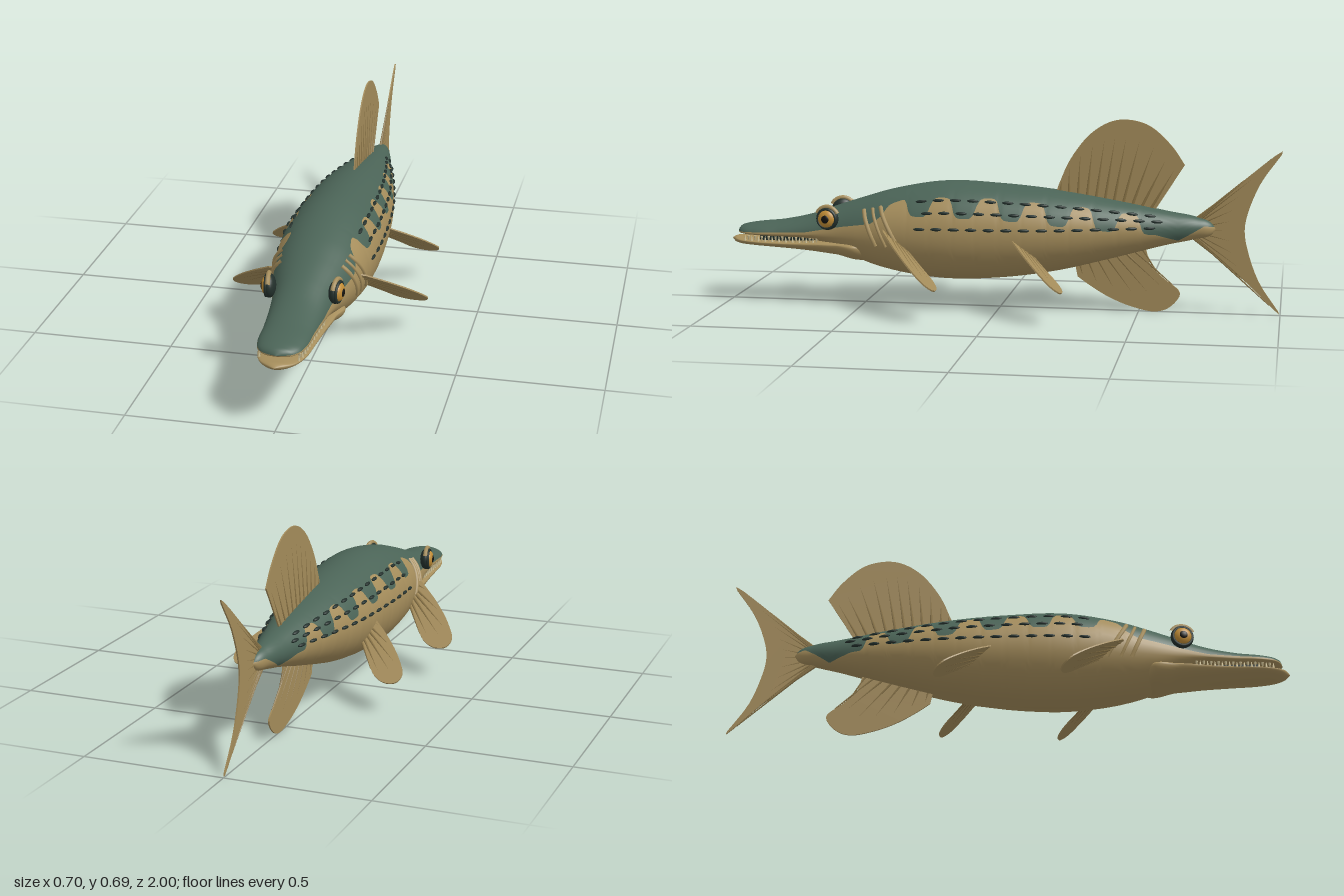
import * as THREE from 'three';

const mat = (name, color, side = THREE.FrontSide) => {
  const m = new THREE.MeshStandardMaterial({ color, side });
  m.name = name;
  return m;
};
const M = {
  belly: mat('tan belly', 0xa68e5c),
  back: mat('green back', 0x4b6457),
  fin: mat('tan fin', 0xa38b5a, THREE.DoubleSide),
  ray: mat('fin ray', 0x8a7446),
  dark: mat('dark marking', 0x23302c),
  gold: mat('gold iris', 0xc08c35),
  pupil: mat('black pupil', 0x14130f),
  tooth: mat('tooth', 0xcbbd92),
};

// Smooth lookup in a table whose rows start with an ascending z
function table(rows, Type = THREE.CubicInterpolant) {
  const n = rows[0].length - 1;
  const f = new Type(rows.map(r => r[0]), rows.flatMap(r => r.slice(1)), n, new Array(n));
  return z => [...f.evaluate(z)];
}

// Sections: z, top, middle, bottom, half width
const BODY = [
  [-0.77, 0.305, 0.305, 0.305, 0], [-0.755, 0.325, 0.305, 0.285, 0.016], [-0.7, 0.347, 0.308, 0.268, 0.038],
  [-0.6, 0.365, 0.305, 0.245, 0.062], [-0.4, 0.402, 0.295, 0.19, 0.112], [-0.2, 0.432, 0.285, 0.14, 0.15],
  [0, 0.45, 0.28, 0.11, 0.168], [0.2, 0.455, 0.278, 0.102, 0.173], [0.4, 0.42, 0.275, 0.128, 0.155],
  [0.5, 0.39, 0.27, 0.158, 0.133], [0.6, 0.357, 0.265, 0.205, 0.108], [0.7, 0.322, 0.26, 0.235, 0.095],
  [0.8, 0.3, 0.256, 0.24, 0.087], [0.9, 0.288, 0.255, 0.244, 0.08], [0.945, 0.28, 0.255, 0.247, 0.062],
  [0.965, 0.272, 0.255, 0.25, 0.036], [0.975, 0.258, 0.258, 0.258, 0],
];
const JAW = [
  [0.44, 0.22, 0.21, 0.2, 0], [0.48, 0.24, 0.215, 0.165, 0.1], [0.6, 0.238, 0.225, 0.178, 0.108],
  [0.7, 0.234, 0.223, 0.19, 0.097], [0.8, 0.231, 0.222, 0.198, 0.088], [0.9, 0.232, 0.224, 0.204, 0.079],
  [0.96, 0.234, 0.226, 0.208, 0.056], [0.985, 0.235, 0.227, 0.214, 0.03], [1.0, 0.226, 0.226, 0.226, 0],
];
const bodyAt = table(BODY), jawAt = table(JAW);

// Height of the colour border: z, height, wave strength
const borderAt = table([
  [-0.78, 0.31, 0], [-0.73, 0.318, 0], [-0.64, 0.265, 0], [-0.56, 0.29, 0], [-0.5, 0.325, 0.034],
  [-0.3, 0.35, 0.036], [0, 0.376, 0.035], [0.3, 0.378, 0.033], [0.4, 0.36, 0.015], [0.45, 0.312, 0],
  [0.56, 0.295, 0], [0.7, 0.268, 0], [0.98, 0.257, 0],
], THREE.LinearInterpolant);
function border(z) {
  const [h, k] = borderAt(z);
  return h + k * Math.tanh(2.5 * Math.cos(2 * Math.PI * (z - 0.19) / 0.165));
}

function ringPoint([top, mid, bot, w], a, z) {
  const s = Math.sin(a);
  return new THREE.Vector3(w * Math.cos(a), mid + s * (s > 0 ? top - mid : mid - bot), z);
}
const onBody = (z, a, side = 1) => {
  const p = ringPoint(bodyAt(z), a, z);
  p.x *= side;
  return p;
};

// Closed loft; each ring has low rows up to the border and high rows above it
function loft(at, z0, z1, steps, borderY) {
  const low = 12, high = 8, half = low + high, ring = half * 2, pos = [], groups = [[], []];
  for (let i = 0; i <= steps; i++) {
    const t = i / steps, z = z0 + (z1 - z0) * (t - Math.sin(2 * Math.PI * t) * 0.04);
    const s = at(z).map(v => Math.max(v, 0)), d = borderY(z) - s[1];
    const h = Math.max(d > 0 ? s[0] - s[1] : s[1] - s[2], 1e-4);
    const edge = Math.asin(THREE.MathUtils.clamp(d / h, -0.97, 0.97)), q = Math.PI / 2;
    for (let j = 0; j < ring; j++) {
      const k = j <= half ? j : ring - j;
      const a = k <= low ? -q + (edge + q) * k / low : edge + (q - edge) * (k - low) / high;
      const p = ringPoint(s, a, z);
      pos.push(j <= half ? p.x : -p.x, p.y, z);
    }
  }
  for (let i = 0; i < steps; i++) for (let j = 0; j < ring; j++) {
    const a = i * ring + j, b = i * ring + (j + 1) % ring, c = b + ring, d = a + ring;
    groups[j < low || j >= ring - low ? 0 : 1].push(a, b, c, a, c, d);
  }
  const g = new THREE.BufferGeometry();
  g.setAttribute('position', new THREE.Float32BufferAttribute(pos, 3));
  g.setIndex(groups.flat());
  g.addGroup(0, groups[0].length, 0);
  g.addGroup(groups[0].length, groups[1].length, 1);
  g.computeVertexNormals();
  return g;
}

function add(parent, name, geometry, material, p) {
  const m = new THREE.Mesh(geometry, material);
  m.name = name;
  if (p) m.position.copy(p);
  parent.add(m);
  return m;
}

// Tapered rod between two points
const UP = new THREE.Vector3(0, 1, 0);
function rod(parent, name, a, b, r0, r1, material) {
  const d = b.clone().sub(a);
  const m = add(parent, name, new THREE.CylinderGeometry(r1, r0, d.length(), 6), material, a.clone().lerp(b, 0.5));
  m.quaternion.setFromUnitVectors(UP, d.normalize());
}

// Thin web from a straight base to a curved edge, with rays fanned across it
function fin(parent, name, matrix, base, edge, rays, r) {
  const [b0, b1] = base.map(p => new THREE.Vector3(...p, 0));
  const curve = new THREE.CatmullRomCurve3(edge.map(p => new THREE.Vector3(...p, 0)));
  const g = new THREE.Group();
  g.name = name;
  const shape = new THREE.Shape([b0, ...curve.getPoints(36), b1].map(p => new THREE.Vector2(p.x, p.y)));
  const web = new THREE.ExtrudeGeometry(shape, { depth: 0.005, bevelEnabled: false });
  add(g, name + 'Web', web.translate(0, 0, -0.0025), M.fin);
  for (let i = 0; i < rays; i++) {
    const t = (i + 0.5) / rays, a = b0.clone().lerp(b1, t);
    rod(g, name + 'Ray', a, a.clone().lerp(curve.getPoint(t), 0.96), r, r * 0.3, M.ray);
  }
  g.applyMatrix4(matrix);
  parent.add(g);
}

export function createModel() {
  const fish = new THREE.Group();
  fish.name = 'fish';
  add(fish, 'body', loft(bodyAt, -0.77, 0.975, 220, border), [M.belly, M.back]);
  add(fish, 'lowerJaw', loft(jawAt, 0.44, 1.0, 50, () => 0.226), [M.belly, M.belly]);
  add(fish, 'mouthLining', new THREE.BoxGeometry(0.11, 0.03, 0.3), M.dark, new THREE.Vector3(0, 0.235, 0.73));

  // Upright fins, drawn as z and y
  const upright = new THREE.Matrix4().makeBasis(
    new THREE.Vector3(0, 0, 1), new THREE.Vector3(0, 1, 0), new THREE.Vector3(-1, 0, 0));
  fin(fish, 'dorsalFin', upright, [[-0.2, 0.42], [-0.55, 0.36]],
    [[-0.21, 0.45], [-0.25, 0.54], [-0.32, 0.632], [-0.39, 0.677], [-0.45, 0.687], [-0.53, 0.667], [-0.61, 0.597], [-0.657, 0.53]], 11, 0.006);
  fin(fish, 'analFin', upright, [[-0.27, 0.17], [-0.52, 0.24]],
    [[-0.28, 0.12], [-0.33, 0.085], [-0.4, 0.045], [-0.48, 0.015], [-0.56, 0.001], [-0.61, 0.018], [-0.647, 0.07], [-0.59, 0.12], [-0.54, 0.165]], 8, 0.005);
  fin(fish, 'tailFin', upright, [[-0.69, 0.335], [-0.69, 0.268]],
    [[-0.78, 0.404], [-0.87, 0.485], [-0.998, 0.585], [-0.925, 0.475], [-0.882, 0.37], [-0.87, 0.3], [-0.885, 0.22],
      [-0.925, 0.115], [-0.998, 0.005], [-0.87, 0.125], [-0.78, 0.2]], 15, 0.005);

  for (const side of [1, -1]) {
    // Paired fins, drawn as x and z on a plane sloping down to the back
    const sloped = (x, y, z, s) => new THREE.Matrix4().makeBasis(
      new THREE.Vector3(s, 0, 0), new THREE.Vector3(0, 0.81 * s, s),
      new THREE.Vector3(0, -1, 0.81).normalize()).setPosition(x * side, y, z);
    const flip = p => [p[0] * side, p[1]];
    const base = [[0.12, -0.005], [0.12, -0.07]].map(flip);
    const edge = [[0.17, -0.012], [0.25, -0.075], [0.32, -0.145], [0.352, -0.197], [0.34, -0.225], [0.295, -0.232],
      [0.245, -0.21], [0.195, -0.15], [0.15, -0.09]].map(flip);
    fin(fish, 'pectoralFin', sloped(0, 0.302, 0.41, 1), base, edge, 7, 0.006);
    fin(fish, 'pelvicFin', sloped(-0.013, 0.29, -0.04, 0.94), base, edge, 7, 0.006);

    // Eye with rim, iris, pupil and brow, turned outward
    const eye = new THREE.Group();
    eye.name = 'eye';
    const ball = (name, r, x, sx, m) =>
      add(eye, name, new THREE.SphereGeometry(r, 24, 16), m, new THREE.Vector3(x, 0, 0)).scale.set(sx, 1, 1);
    ball('eyeSocket', 0.041, 0, 0.55, M.dark);
    ball('iris', 0.032, 0.01, 0.55, M.gold);
    ball('pupil', 0.017, 0.021, 0.5, M.pupil);
    add(eye, 'eyeRim', new THREE.TorusGeometry(0.034, 0.006, 8, 28), M.dark, new THREE.Vector3(0.01, 0, 0)).rotation.y = Math.PI / 2;
    const brow = add(eye, 'brow', new THREE.TorusGeometry(0.043, 0.008, 8, 20, 2.2), M.belly, new THREE.Vector3(0.002, 0, 0));
    brow.rotation.set(0, Math.PI / 2, 0.47);
    eye.position.set(0.113 * side, 0.324, 0.61);
    eye.rotation.y = side > 0 ? -0.15 : Math.PI + 0.15;
    fish.add(eye);

    // Gill cover ridges
    for (const [z, lean, r] of [[0.478, 0.05, 0.008], [0.445, 0.055, 0.006], [0.415, 0.075, 0.008]]) {
      const pts = [0, 1, 2, 3, 4].map(i => onBody(z - lean * (i / 4) ** 1.3, 0.75 - i * 0.26, side));
      add(fish, 'gillRidge', new THREE.TubeGeometry(new THREE.CatmullRomCurve3(pts), 20, r, 8), M.belly);
    }

    // Rows of small raised flank scales
    [0.15, 0.48, 0.77].forEach((a, row) => {
      for (let i = 0; i < 14; i++) {
        const z = 0.265 - i * 0.062 - (row % 2) * 0.025;
        const p = onBody(z, a, side), d = onBody(z + 0.01, a, side).sub(p).normalize();
        const s = add(fish, 'flankScale', new THREE.SphereGeometry(1, 8, 6), M.dark, p);
        s.scale.set(0.007, 0.006, 0.021);
        s.quaternion.setFromUnitVectors(new THREE.Vector3(0, 0, 1), d);
      }
    });

    // Teeth along both jaws
    for (let i = 0; i < 11; i++) {
      const z = 0.66 + i * 0.026, x = bodyAt(z)[3] * 0.86 * side;
      const y = 0.246;
      rod(fish, 'upperTooth', new THREE.Vector3(x, y, z), new THREE.Vector3(x, y - 0.02, z), 0.005, 0.001, M.tooth);
      rod(fish, 'lowerTooth', new THREE.Vector3(x, y - 0.022, z + 0.013), new THREE.Vector3(x, y, z + 0.013), 0.005, 0.001, M.tooth);
    }
  }
  return fish;
}
